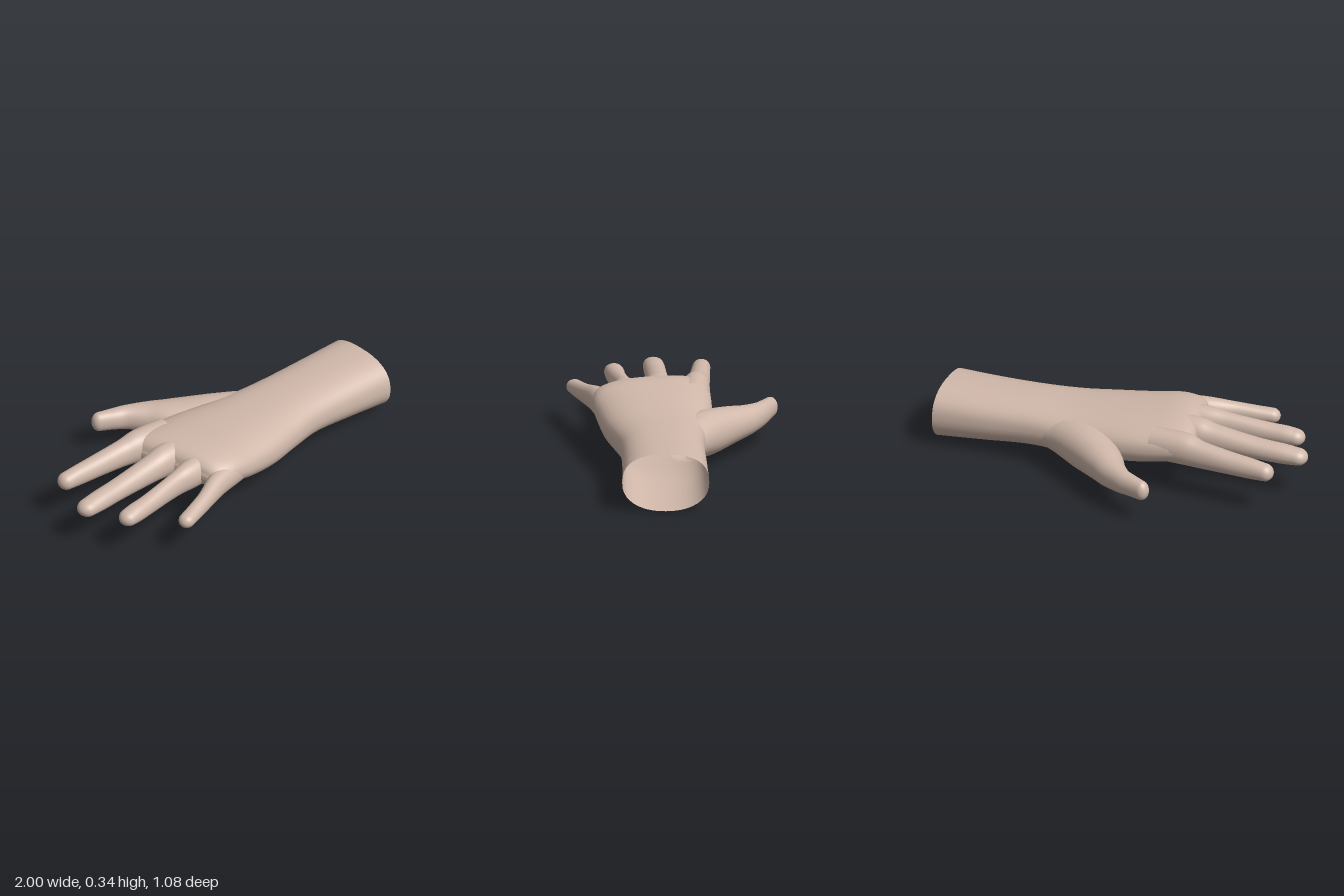
import * as THREE from 'three';

const skin = new THREE.MeshStandardMaterial({ color: 0xd0b8aa, side: THREE.DoubleSide });
skin.name = 'skin';

const UP = new THREE.Vector3(0, 1, 0);
const STEPS = 8; // rings between neighbouring sections
const SIDES = 40; // points around each ring
const DOME = 8; // rings in a rounded tip

const signedPow = (v, e) => Math.sign(v) * Math.abs(v) ** e;

// Smooth skin through sections [x, y, z, halfWidth, halfHeight], closed by a dome of length `tip`.
// `top` and `bottom` set how square the upper and lower halves are (2 is an ellipse).
function loft(name, sections, { tip, top = 2.1, bottom = 2.1, warp }) {
  const smooth = (points) => new THREE.CatmullRomCurve3(points, false, 'catmullrom', 0.5);
  const path = smooth(sections.map(([x, y, z]) => new THREE.Vector3(x, y, z)));
  const sizes = smooth(sections.map(([, , , w, h]) => new THREE.Vector3(w, h, 0)));
  const positions = [];
  const indices = [];

  const addRing = (centre, tangent, width, height) => {
    const side = new THREE.Vector3().crossVectors(UP, tangent).normalize();
    for (let j = 0; j < SIDES; j++) {
      const a = (j / SIDES) * Math.PI * 2;
      const e = 2 / (Math.sin(a) > 0 ? top : bottom);
      const p = centre.clone()
        .addScaledVector(side, width * signedPow(Math.cos(a), e))
        .addScaledVector(UP, height * signedPow(Math.sin(a), e));
      if (warp) warp(p);
      positions.push(p.x, p.y, p.z);
    }
  };

  const count = (sections.length - 1) * STEPS;
  for (let i = 0; i <= count; i++) {
    const size = sizes.getPoint(i / count);
    addRing(path.getPoint(i / count), path.getTangent(i / count), size.x, size.y);
  }

  // rounded end
  const end = path.getPoint(1);
  const direction = path.getTangent(1);
  const size = sizes.getPoint(1);
  for (let k = 1; k <= DOME; k++) {
    const a = (k / DOME) * Math.PI / 2;
    const scale = Math.max(Math.cos(a), 0.002);
    const centre = end.clone().addScaledVector(direction, tip * Math.sin(a));
    addRing(centre, direction, size.x * scale, size.y * scale);
  }

  for (let i = 0; i < count + DOME; i++) {
    for (let j = 0; j < SIDES; j++) {
      const next = (j + 1) % SIDES;
      const a = i * SIDES + j;
      const b = i * SIDES + next;
      indices.push(a, b, b + SIDES, a, b + SIDES, a + SIDES);
    }
  }

  const geometry = new THREE.BufferGeometry();
  geometry.setAttribute('position', new THREE.Float32BufferAttribute(positions, 3));
  geometry.setIndex(indices);
  geometry.computeVertexNormals();
  const mesh = new THREE.Mesh(geometry, skin);
  mesh.name = name;
  return mesh;
}

// Section from its edges: x, back z, front z, low y, high y
const span = (x, back, front, low, high) =>
  [x, (low + high) / 2, (back + front) / 2, (front - back) / 2, (high - low) / 2];

// Slants the knuckle line so the palm reaches further on the index side
function slantKnuckles(p) {
  p.x += 0.21 * (p.z - 0.12) * THREE.MathUtils.smoothstep(-p.x, 0, 0.35);
}

export function createModel() {
  const hand = new THREE.Group();
  hand.name = 'hand';

  // open forearm, wrist and palm in one skin
  hand.add(loft('forearmAndPalm', [
    span(1, -0.135, 0.315, 0, 0.305),
    span(0.75, -0.135, 0.303, 0.025, 0.303),
    span(0.5, -0.135, 0.303, 0.05, 0.305),
    span(0.3, -0.155, 0.335, 0.05, 0.306),
    span(0.1, -0.18, 0.378, 0.052, 0.318),
    span(-0.1, -0.2, 0.405, 0.085, 0.335),
    span(-0.24, -0.2, 0.415, 0.12, 0.345),
    span(-0.33, -0.195, 0.41, 0.145, 0.335),
    span(-0.375, -0.185, 0.4, 0.175, 0.305),
    span(-0.392, -0.175, 0.39, 0.215, 0.26),
  ], { tip: 0.004, top: 2.5, bottom: 2.2, warp: slantKnuckles }));

  // fingers, each from inside the palm out to its tip
  const fingers = {
    indexFinger: [0.045, [
      [-0.22, 0.245, -0.11, 0.08, 0.085],
      [-0.4, 0.248, -0.128, 0.073, 0.085],
      [-0.5, 0.238, -0.144, 0.06, 0.072],
      [-0.66, 0.23, -0.16, 0.054, 0.06],
      [-0.78, 0.225, -0.17, 0.049, 0.054],
      [-0.86, 0.222, -0.177, 0.047, 0.046],
    ]],
    middleFinger: [0.054, [
      [-0.22, 0.25, 0.07, 0.085, 0.088],
      [-0.4, 0.248, 0.066, 0.075, 0.085],
      [-0.5, 0.237, 0.064, 0.064, 0.072],
      [-0.72, 0.222, 0.063, 0.057, 0.056],
      [-0.86, 0.216, 0.065, 0.056, 0.052],
      [-0.945, 0.213, 0.067, 0.054, 0.044],
    ]],
    ringFinger: [0.05, [
      [-0.2, 0.235, 0.225, 0.08, 0.085],
      [-0.38, 0.236, 0.238, 0.064, 0.078],
      [-0.5, 0.228, 0.246, 0.048, 0.066],
      [-0.7, 0.216, 0.265, 0.048, 0.053],
      [-0.8, 0.212, 0.272, 0.051, 0.05],
      [-0.852, 0.21, 0.275, 0.05, 0.043],
    ]],
    littleFinger: [0.042, [
      [-0.16, 0.22, 0.342, 0.068, 0.075],
      [-0.32, 0.22, 0.386, 0.054, 0.067],
      [-0.45, 0.21, 0.434, 0.043, 0.052],
      [-0.56, 0.2, 0.466, 0.042, 0.044],
      [-0.64, 0.195, 0.488, 0.042, 0.038],
    ]],
  };
  for (const [name, [tip, sections]] of Object.entries(fingers)) {
    hand.add(loft(name, sections, { tip }));
  }

  // thumb, flaring into the fleshy base of the palm
  hand.add(loft('thumb', [
    [0.4, 0.17, -0.03, 0.1, 0.08],
    [0.27, 0.17, -0.07, 0.118, 0.105],
    [0.13, 0.165, -0.155, 0.122, 0.115],
    [0, 0.165, -0.275, 0.103, 0.097],
    [-0.08, 0.165, -0.365, 0.08, 0.08],
    [-0.165, 0.168, -0.438, 0.056, 0.066],
    [-0.235, 0.17, -0.475, 0.047, 0.058],
    [-0.305, 0.17, -0.508, 0.039, 0.053],
  ], { tip: 0.038 }));

  return hand;
}
